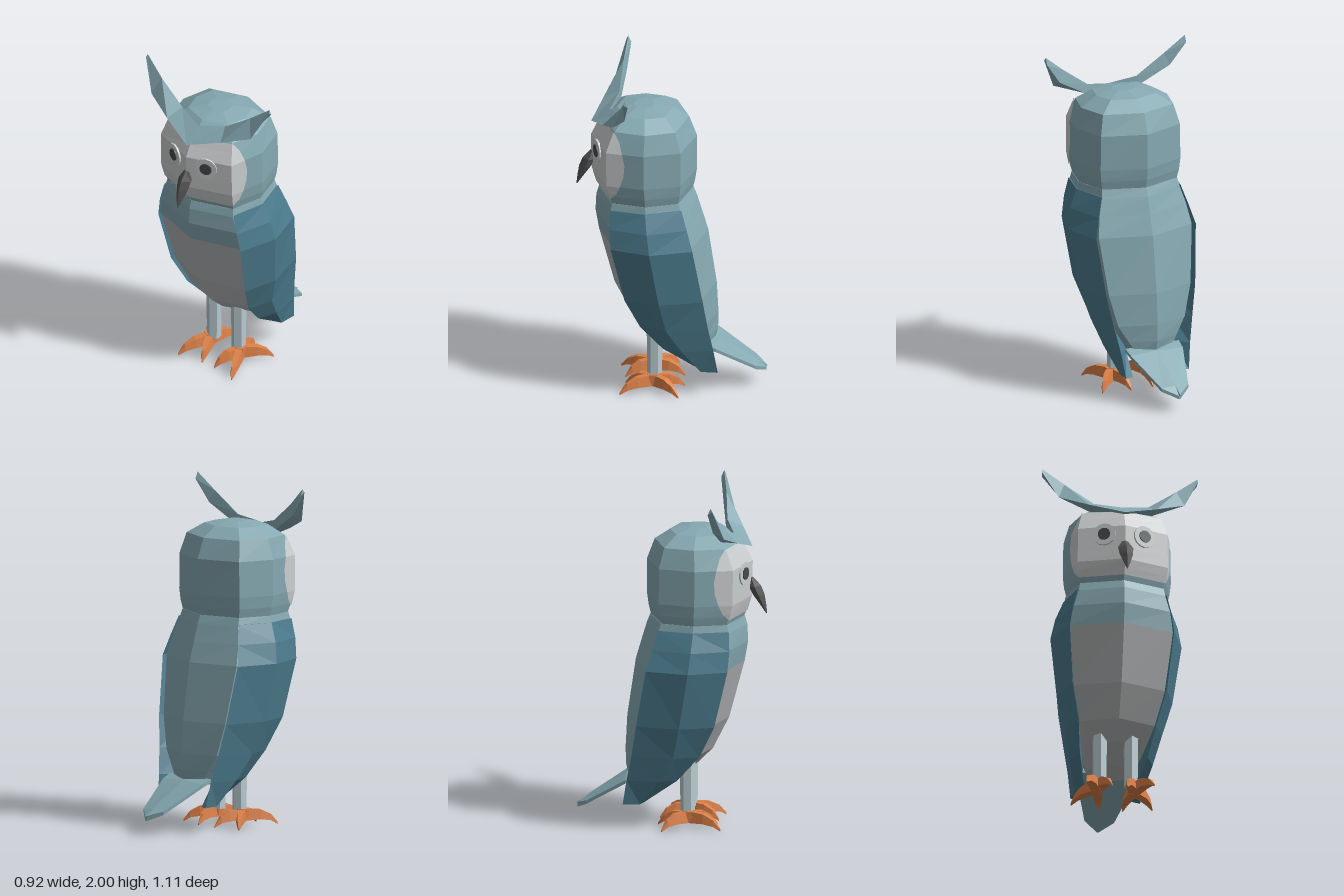
import * as THREE from 'three';

const paint = (name, color) => {
  const m = new THREE.MeshStandardMaterial({ color, flatShading: true });
  m.name = name;
  return m;
};

// Skin rings of [x, y, z] points; pick(k, i) chooses the material of each face.
function loft(name, rings, mats, { pick = () => 0, open = false } = {}) {
  const list = [].concat(mats);
  const tris = list.map(() => []);
  const n = rings[0].length;
  const last = rings.length - 1;
  for (let k = 0; k < last; k++) {
    for (let i = 0; i < (open ? n - 1 : n); i++) {
      const j = (i + 1) % n;
      const [a, b, c, d] = [rings[k][i], rings[k][j], rings[k + 1][j], rings[k + 1][i]];
      tris[pick(k, i)].push([a, b, c], [a, c, d]);
    }
  }
  if (!open) {
    for (let i = 1; i < n - 1; i++) {
      tris[pick(-1, i)].push([rings[0][0], rings[0][i + 1], rings[0][i]]);
      tris[pick(last, i)].push([rings[last][0], rings[last][i], rings[last][i + 1]]);
    }
    // Turn the solid right side out whatever the ring direction
    let volume = 0;
    const V = (p) => new THREE.Vector3(...p);
    for (const [a, b, c] of tris.flat()) volume += V(a).dot(V(b).cross(V(c)));
    if (volume < 0) tris.flat().forEach((t) => t.reverse());
  }
  const geo = new THREE.BufferGeometry();
  geo.setAttribute('position', new THREE.Float32BufferAttribute(tris.flat(3), 3));
  let start = 0;
  tris.forEach((t, i) => {
    geo.addGroup(start, t.length * 3, i);
    start += t.length * 3;
  });
  geo.computeVertexNormals();
  const mesh = new THREE.Mesh(geo, Array.isArray(mats) ? mats : list[0]);
  mesh.name = name;
  return mesh;
}

// Eight-sided ring with a ridge at front and back
function octagon([y, zf, hw, zb]) {
  const d = zf - zb, x = hw * 0.82, c = 0.15 * d, mid = zf - d * 0.5;
  return [
    [0, y, zf], [x, y, zf - c], [hw, y, mid], [x, y, zb + c],
    [0, y, zb], [-x, y, zb + c], [-hw, y, mid], [-x, y, zf - c],
  ];
}

// Rows: height, front z, half width, back z
const BODY = [
  [0.27, -0.02, 0.13, -0.25], [0.35, 0.14, 0.19, -0.268], [0.45, 0.24, 0.265, -0.27],
  [0.64, 0.335, 0.325, -0.26], [0.98, 0.425, 0.37, -0.21], [1.1, 0.445, 0.345, -0.175],
  [1.2, 0.44, 0.31, -0.145], [1.25, 0.425, 0.3, -0.125],
];
const HEAD = [
  [1.24, 0.42, 0.295, -0.12], [1.3, 0.44, 0.31, -0.135], [1.37, 0.46, 0.318, -0.145],
  [1.58, 0.465, 0.315, -0.145], [1.7, 0.405, 0.28, -0.1], [1.76, 0.32, 0.18, -0.01],
  [1.782, 0.22, 0.07, 0.1],
];

function headAt(y) {
  const k = Math.max(1, HEAD.findIndex((r) => r[0] >= y));
  const [a, b] = [HEAD[k - 1], HEAD[k]];
  const t = (y - a[0]) / (b[0] - a[0]);
  return a.map((v, i) => v + (b[i] - v) * t);
}

const mirrored = (rings, s) => rings.map((r) => r.map(([x, y, z]) => [x * s, y, z]));

export function createModel() {
  const owl = new THREE.Group();
  owl.name = 'owl';
  const plumage = paint('blue grey plumage', 0x86a9b2);
  const wingBlue = paint('teal wing', 0x4c7c8e);
  const bellyGrey = paint('belly grey', 0xb2b4b5);
  const facePale = paint('pale face', 0xcbcecf);
  const legPale = paint('pale leg', 0xb9cbd0);
  const dark = paint('dark pupil', 0x454a4c);
  const beakDark = paint('beak', 0x585657);
  const orange = paint('orange foot', 0xdc8048);

  // Body with a grey belly below the chest
  owl.add(loft('body', BODY.map(octagon), [plumage, bellyGrey], {
    pick: (k, i) => (k < 0 || (k < 4 && (i === 0 || i === 7)) || (k < 2 && (i === 1 || i === 6)) ? 1 : 0),
  }));
  owl.add(loft('head', HEAD.map(octagon), plumage));

  // Face mask wrapping the front of the head: [height, reach along the side]
  const mask = [[1.28, 0], [1.32, 0.22], [1.37, 0.36], [1.44, 0.47], [1.51, 0.5],
    [1.58, 0.44], [1.65, 0.27], [1.7, 0.02]].map(([y, t]) => {
    const [, zf, hw, zb] = headAt(y);
    const [f, c, s] = octagon([y, zf + 0.007, hw + 0.006, zb]);
    const e = c.map((v, i) => v + (s[i] - v) * t);
    return [[-e[0], y, e[2]], [-c[0], y, c[2]], f, c, e];
  });
  owl.add(loft('faceMask', mask, facePale, { open: true }));

  // Beak, hooked downward
  const beak = [[1.48, 0.455, 0.475, 0.018], [1.43, 0.45, 0.52, 0.045], [1.38, 0.475, 0.54, 0.04],
    [1.32, 0.515, 0.55, 0.022], [1.265, 0.55, 0.556, 0.002]].map(([y, zb, zf, w]) => [
    [0, y, zf], [w, y, (zf + zb) / 2], [w * 0.6, y, zb], [-w * 0.6, y, zb], [-w, y, (zf + zb) / 2],
  ]);
  owl.add(loft('beak', beak, beakDark));

  // Tail
  const tail = [[-0.2, 0.175, 0.31], [-0.26, 0.17, 0.285], [-0.49, 0.087, 0.14], [-0.55, 0.004, 0.1]]
    .map(([z, w, y]) => [[-w, y, z], [0, y + 0.008, z - 0.005], [w, y, z], [w, y - 0.02, z], [-w, y - 0.02, z]]);
  owl.add(loft('tail', tail, plumage));

  for (const s of [1, -1]) {
    const side = s > 0 ? 'left' : 'right';

    // Wing: [height, front edge, outer ridge, back edge, inner edge] as x, z pairs
    const wing = [
      [0.15, 0.14, -0.15, 0.195, -0.17, 0.205, -0.27, 0.15, -0.25],
      [0.3, 0.2, 0.05, 0.245, -0.06, 0.225, -0.245, 0.15, -0.15],
      [0.45, 0.228, 0.18, 0.285, 0.03, 0.255, -0.215, 0.18, -0.05],
      [0.64, 0.277, 0.27, 0.34, 0.07, 0.29, -0.185, 0.22, 0.03],
      [0.98, 0.307, 0.35, 0.386, 0.125, 0.325, -0.125, 0.25, 0.1],
      [1.1, 0.287, 0.36, 0.36, 0.14, 0.292, -0.092, 0.23, 0.13],
      [1.21, 0.26, 0.355, 0.314, 0.15, 0.258, -0.06, 0.2, 0.14],
    ].map(([y, ...p]) => [0, 2, 4, 6].map((i) => [p[i], y, p[i + 1]]));
    owl.add(loft(side + 'Wing', mirrored(wing, s), wingBlue));

    // Brow sweeping up into an ear tuft: lower, upper and back edges
    const brow = [
      [[0, 1.665, 0.47], [0, 1.745, 0.36], [0, 1.69, 0.34]],
      [[0.2, 1.73, 0.4], [0.16, 1.78, 0.31], [0.18, 1.73, 0.3]],
      [[0.37, 1.795, 0.335], [0.33, 1.9, 0.29], [0.36, 1.83, 0.27]],
      [[0.46, 1.98, 0.275], [0.455, 2, 0.265], [0.455, 1.96, 0.248]],
    ];
    owl.add(loft(side + 'BrowTuft', mirrored(brow, s), plumage));

    // Eye: raised disc and pupil turned to follow the face
    const eye = new THREE.Group();
    eye.name = side + 'Eye';
    [[0.068, 0.012, facePale, 'eyeDisc', 0], [0.037, 0.008, dark, 'pupil', 0.008]].forEach(([r, h, m, name, z]) => {
      const disc = new THREE.Mesh(new THREE.CylinderGeometry(r, r, h, 14).rotateX(Math.PI / 2), m);
      disc.position.z = z;
      disc.name = name;
      eye.add(disc);
    });
    eye.position.set(0.118 * s, 1.53, 0.434);
    eye.rotation.y = 0.36 * s;
    owl.add(eye);

    // Leg
    const leg = new THREE.Mesh(new THREE.CylinderGeometry(0.046, 0.042, 0.32, 6), legPale);
    leg.position.set(0.092 * s, 0.24, 0.1);
    leg.name = side + 'Leg';
    owl.add(leg);

    // Foot: hub with four arched toes
    const foot = new THREE.Group();
    foot.name = side + 'Foot';
    const cx = 0.11, cz = 0.105;
    const hub = new THREE.Mesh(new THREE.CylinderGeometry(0.042, 0.04, 0.06, 6), orange);
    hub.position.set(cx * s, 0.07, cz);
    hub.name = 'hub';
    foot.add(hub);
    for (const [tx, tz] of [[0.045, 0.27], [0.2, 0.3], [0.24, -0.04], [0.07, -0.075]]) {
      const dx = tx - cx, dz = tz - cz, len = Math.hypot(dx, dz);
      const toe = [[0, 0.1, 0.03, 0.028], [0.5, 0.092, 0.035, 0.026], [0.8, 0.062, 0.025, 0.017], [1, 0.012, 0, 0.003]]
        .map(([t, top, low, w]) => {
          const x = cx + dx * t, z = cz + dz * t, nx = (dz / len) * w, nz = (-dx / len) * w;
          return [[x - nx, low, z - nz], [x + nx, low, z + nz],
            [x + nx * 0.7, top, z + nz * 0.7], [x - nx * 0.7, top, z - nz * 0.7]];
        });
      foot.add(loft('toe', mirrored(toe, s), orange));
    }
    owl.add(foot);
  }
  return owl;
}
